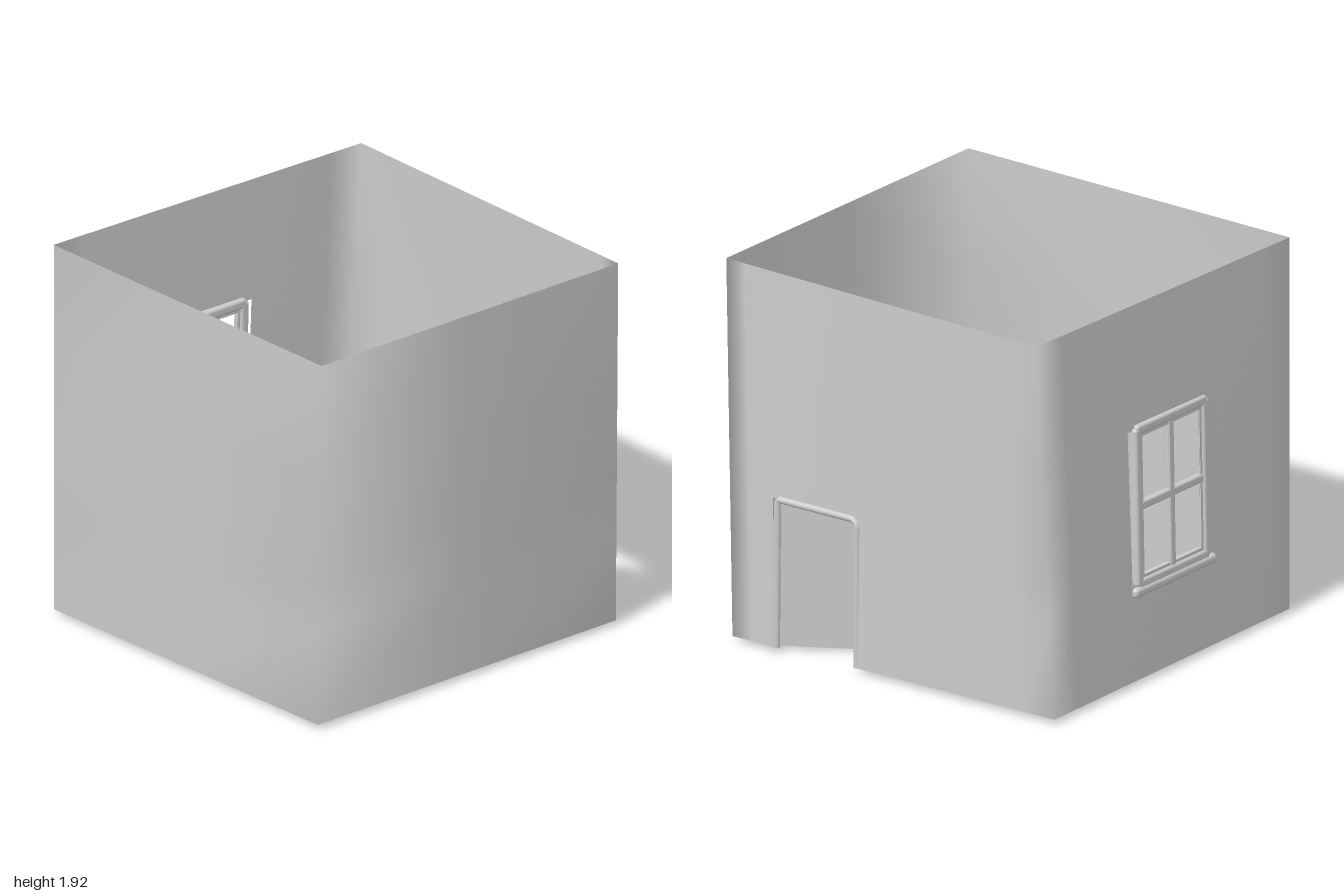
import * as THREE from 'three';
import { RoundedBoxGeometry } from 'three/addons/geometries/RoundedBoxGeometry.js';

const mat = new THREE.MeshStandardMaterial({ color: 0xcccccc, side: THREE.DoubleSide });
const Y0 = 0.03, Y1 = 1.92;
const V = (x, y, z) => new THREE.Vector3(x, y, z);

function add(parent, name, geo, x = 0, y = 0, z = 0) {
  const m = new THREE.Mesh(geo, mat);
  m.name = name;
  m.position.set(x, y, z);
  parent.add(m);
  return m;
}

// Corners as [bottom, top]; the room leans a little at each one
const corners = [
  [V(-0.957, Y0, 0.955), V(-0.957, Y1, 0.957)], // front, -x
  [V(0.93, Y0, 0.938), V(0.995, Y1, 0.972)], // front, +x
  [V(0.91, Y0, -0.97), V(0.99, Y1, -0.915)], // back, +x
  [V(-1.0, Y0, -0.925), V(-0.92, Y1, -0.962)], // back, -x
];
// Point on wall i: u runs along the wall, v runs upward
function wallPoint(i, u, v) {
  const a = corners[i], b = corners[(i + 1) % 4];
  const low = a[0].clone().lerp(b[0], u);
  return low.lerp(a[1].clone().lerp(b[1], u), v);
}
const height = (y) => (y - Y0) / (Y1 - Y0);

// Column positions per wall and shared row heights; openings are skipped cells
const columns = [[0, 0.5], [0, 0.5], [0, 0.06, 0.135, 0.385, 0.5, 0.9], [0, 0.1, 0.345, 0.63, 0.9]];
const rows = [Y0, 0.51, 0.78, 1.29, Y1];

function wallsGeometry() {
  const pos = [], index = [], cells = [];
  columns.forEach((us, wall) => us.forEach((u, c) => {
    cells.push([wall, c]);
    for (const y of rows) pos.push(...wallPoint(wall, u, height(y)).toArray());
  }));
  const n = rows.length;
  cells.forEach(([wall, c], k) => {
    const k2 = (k + 1) % cells.length;
    for (let r = 0; r < n - 1; r++) {
      const doorway = wall === 2 && c === 2 && r < 2;
      const window = wall === 3 && c === 2 && (r === 1 || r === 2);
      if (doorway || window) continue;
      const a = k * n + r, b = k2 * n + r;
      index.push(a, b, b + 1, a, b + 1, a + 1);
    }
  });
  const g = new THREE.BufferGeometry();
  g.setAttribute('position', new THREE.Float32BufferAttribute(pos, 3));
  g.setIndex(index);
  g.computeVertexNormals();
  return g;
}

export function createModel() {
  const model = new THREE.Group();
  add(model, 'walls', wallsGeometry());

  // Rounded trim around the doorway
  const path = new THREE.CurvePath();
  const zc = -0.94, xl = 0.18, xr = 0.655, top = 0.78, r = 0.04;
  path.add(new THREE.LineCurve3(V(xl, Y0, zc), V(xl, top - r, zc)));
  path.add(new THREE.QuadraticBezierCurve3(V(xl, top - r, zc), V(xl, top, zc), V(xl + r, top, zc)));
  path.add(new THREE.LineCurve3(V(xl + r, top, zc), V(xr, top, zc - 0.008)));
  path.add(new THREE.LineCurve3(V(xr, top, zc - 0.008), V(xr, Y0, zc - 0.016)));
  add(model, 'doorFrame', new THREE.TubeGeometry(path, 90, 0.018, 10));

  // Door leaf, ajar into the room and sagging at its free end
  const door = new THREE.Group();
  door.name = 'door';
  door.position.set(0.7, Y0, -0.945);
  door.rotation.set(0, Math.PI + 0.68, -0.058);
  model.add(door);
  add(door, 'doorLeaf', new THREE.BoxGeometry(0.45, 0.73, 0.03), 0.225, 0.366, 0);
  const handle = new THREE.CatmullRomCurve3([
    V(0.4, 0.36, -0.012), V(0.4, 0.36, -0.045), V(0.385, 0.36, -0.055), V(0.34, 0.36, -0.055)]);
  add(door, 'doorHandle', new THREE.TubeGeometry(handle, 16, 0.009, 8));

  // Window with four panes, set in the -x wall and following its slight lean
  const window = new THREE.Group();
  window.name = 'window';
  window.position.set(-0.955, 0.9, 0.03);
  window.rotation.set(0, 0.012, -0.02);
  model.add(window);
  const w = 0.55, h = 0.8;
  for (const s of [-1, 1]) {
    add(window, 'windowSideRail', new RoundedBoxGeometry(0.05, h, 0.05, 3, 0.015), 0, 0, s * (w / 2 - 0.01));
    add(window, 'windowCrossRail', new RoundedBoxGeometry(0.05, 0.05, w, 3, 0.015), 0, s * (h / 2 - 0.01), 0);
    // Slimmer sash borders around the panes
    for (const t of [-1, 1]) {
      add(window, 'sashUpright', new THREE.BoxGeometry(0.025, 0.36, 0.02), 0, s * 0.19, t * 0.235);
      add(window, 'sashRail', new THREE.BoxGeometry(0.025, 0.02, 0.25), 0, s * 0.36, t * 0.125);
    }
  }
  add(window, 'windowMullion', new RoundedBoxGeometry(0.035, h - 0.04, 0.045, 3, 0.012));
  add(window, 'windowMiddleBar', new RoundedBoxGeometry(0.035, 0.045, w - 0.04, 3, 0.012));
  add(window, 'windowSill', new RoundedBoxGeometry(0.07, 0.05, 0.64, 4, 0.02), 0.002, -0.425, 0.005);

  return model;
}
